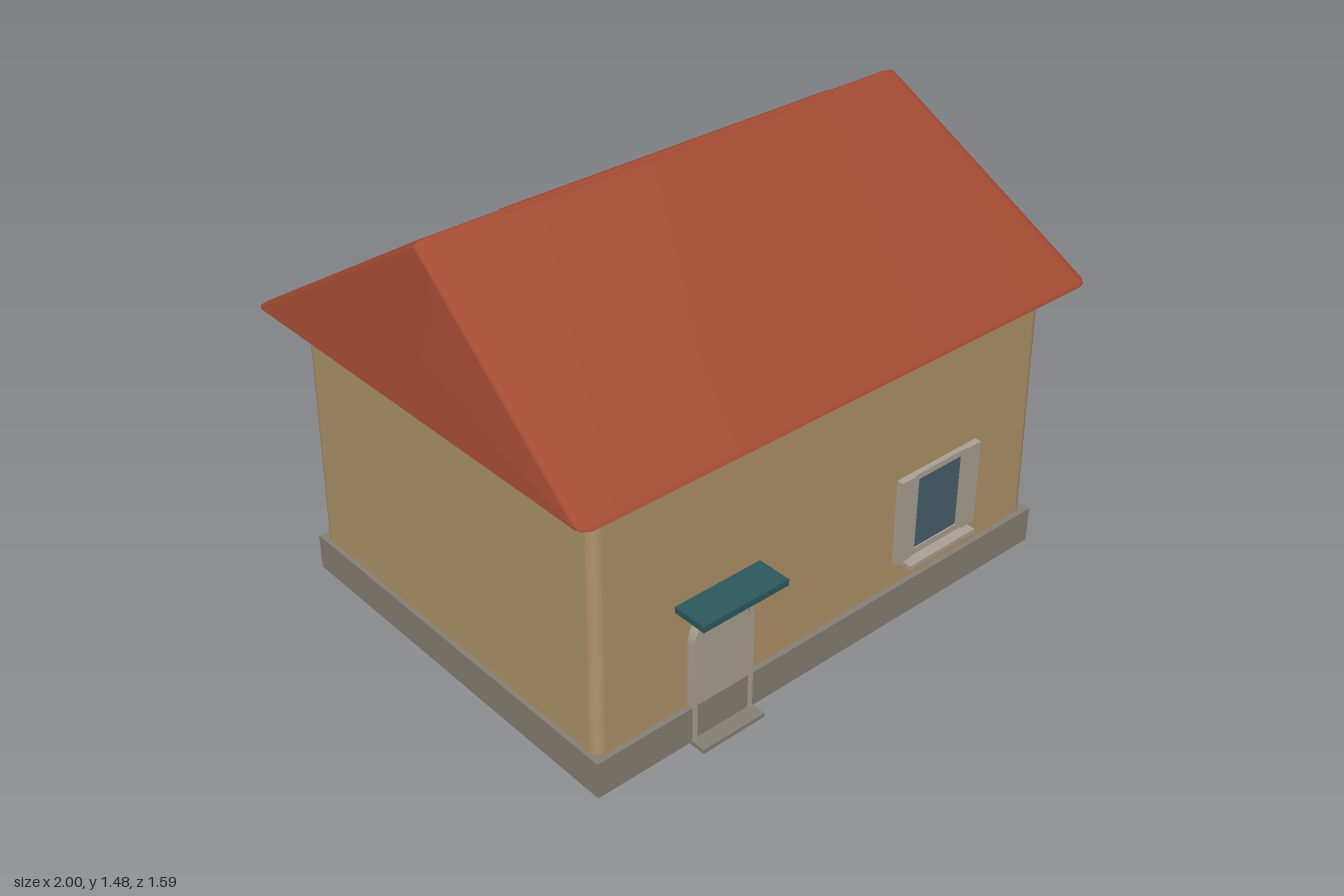
import * as THREE from 'three';
import { toCreasedNormals } from 'three/addons/utils/BufferGeometryUtils.js';
import { RoundedBoxGeometry } from 'three/addons/geometries/RoundedBoxGeometry.js';

const COLORS = {
  wall: 0xb0946a, roof: 0xa34b33, stone: 0x888073, trim: 0xaca293,
  glass: 0x48616c, canopy: 0x2c5a60, ceiling: 0x8f7488,
};

function part(name, geometry, color) {
  const mesh = new THREE.Mesh(geometry, new THREE.MeshStandardMaterial({ color: COLORS[color] }));
  mesh.name = name;
  return mesh;
}

// Box given by its limits on each axis
function box(name, color, [x0, x1], [y0, y1], [z0, z1]) {
  const g = new THREE.BoxGeometry(x1 - x0, y1 - y0, z1 - z0);
  g.translate((x0 + x1) / 2, (y0 + y1) / 2, (z0 + z1) / 2);
  return part(name, g, color);
}

// Flat shape facing +z, from z0 to z1
function slab(name, color, shape, z0, z1) {
  const g = new THREE.ExtrudeGeometry(shape, { depth: z1 - z0, bevelEnabled: false, curveSegments: 16 });
  g.translate(0, 0, z0);
  return part(name, toCreasedNormals(g, 0.6), color);
}

function archShape(x, half, bottom, top) {
  const s = new THREE.Shape();
  s.moveTo(x - half, bottom);
  s.lineTo(x + half, bottom);
  s.lineTo(x + half, top - half);
  s.absarc(x, top - half, half, 0, Math.PI, false);
  s.closePath();
  return s;
}

function rectShape(x0, x1, y0, y1) {
  return new THREE.Shape([[x0, y0], [x1, y0], [x1, y1], [x0, y1]].map(p => new THREE.Vector2(...p)));
}

// Gabled roof: a rounded triangle lofted along x, with ends leaning in towards the ridge
function roofGeometry() {
  const eave = 0.98, rise = 0.495, midZ = -0.015, pivotY = 1.18;
  const profile = [
    [-0.768, 0.98], [-0.78, 0.984], [-0.775, 0.992], [-0.018, 1.466], [0, 1.475],
    [0.018, 1.466], [0.775, 0.992], [0.78, 0.984], [0.768, 0.98],
  ];
  const sections = [[-1, 0.95], [-0.996, 0.97], [-0.986, 0.988], [-0.965, 1],
    [0.965, 1], [0.986, 0.988], [0.996, 0.97], [1, 0.95]];
  const lean = (x, y) => x * (1 - 0.08 * (y - eave) / rise);
  const positions = [], index = [], n = profile.length;
  for (const [x, s] of sections) {
    for (const [z, y] of profile) {
      const py = pivotY + (y - pivotY) * s;
      positions.push(lean(x, py), py, midZ + z * s);
    }
  }
  for (let i = 0; i < sections.length - 1; i++) {
    for (let j = 0; j < n; j++) {
      const a = i * n + j, b = i * n + (j + 1) % n;
      index.push(a, b, a + n, b, b + n, a + n);
    }
  }
  // end faces
  const last = (sections.length - 1) * n, c = sections.length * n;
  for (const x of [-1, 1]) positions.push(lean(x, pivotY), pivotY, midZ);
  for (let j = 0; j < n; j++) {
    const k = (j + 1) % n;
    index.push(c, k, j, c + 1, last + j, last + k);
  }
  const g = new THREE.BufferGeometry();
  g.setAttribute('position', new THREE.Float32BufferAttribute(positions, 3));
  g.setIndex(index);
  return toCreasedNormals(g, 0.35);
}

// Rounded wall block that narrows slightly towards the top
function wallGeometry() {
  const g = new RoundedBoxGeometry(1.81, 0.88, 1.385, 4, 0.035);
  const p = g.attributes.position;
  for (let i = 0; i < p.count; i++) {
    const k = 1 - 0.012 * (p.getY(i) / 0.88 + 0.5);
    p.setX(i, p.getX(i) * k);
    p.setZ(i, p.getZ(i) * k);
  }
  g.translate(0, 0.538, -0.0125);
  return g;
}

export function createModel() {
  const house = new THREE.Group();
  house.name = 'house';

  house.add(
    box('foundation', 'stone', [-0.92, 0.92], [0.015, 0.14], [-0.722, 0.7]),
    part('walls', wallGeometry(), 'wall'),
    box('ceiling', 'ceiling', [-0.875, 0.875], [0.972, 0.982], [-0.68, 0.655]),
    part('roof', roofGeometry(), 'roof'),
  );

  // Slim cap almost sunk into the ridge
  const cap = new THREE.CapsuleGeometry(0.018, 1.26, 4, 12);
  cap.rotateZ(Math.PI / 2);
  cap.translate(0, 1.459, -0.016);
  house.add(part('ridgeCap', cap, 'roof'));

  // Arched door with frame, step and canopy
  const door = new THREE.Group();
  door.name = 'door';
  const frame = archShape(-0.455, 0.115, 0, 0.473);
  frame.holes.push(archShape(-0.455, 0.102, 0.012, 0.46));
  door.add(
    slab('doorFrame', 'trim', frame, 0.67, 0.707),
    slab('doorPanel', 'trim', archShape(-0.455, 0.104, 0.005, 0.462), 0.67, 0.698),
    box('doorStep', 'stone', [-0.575, -0.335], [0.008, 0.022], [0.68, 0.755]),
    box('canopy', 'canopy', [-0.615, -0.293], [0.494, 0.515], [0.67, 0.795]),
  );
  house.add(door);

  // Front window with frame, shutters and sill
  const win = new THREE.Group();
  win.name = 'frontWindow';
  const casing = rectShape(0.275, 0.63, 0.225, 0.53);
  casing.holes.push(rectShape(0.355, 0.55, 0.25, 0.51));
  win.add(
    slab('windowFrame', 'trim', casing, 0.66, 0.695),
    box('windowGlass', 'glass', [0.35, 0.555], [0.245, 0.515], [0.66, 0.69]),
    box('windowSill', 'trim', [0.3, 0.6], [0.213, 0.228], [0.67, 0.732]),
  );
  for (const x of [0.275, 0.57]) {
    win.add(box('shutter', 'trim', [x, x + 0.06], [0.228, 0.53], [0.67, 0.7]));
  }
  house.add(win);

  house.add(box('backWindow', 'glass', [0.355, 0.55], [0.25, 0.51], [-0.72, -0.68]));
  return house;
}
